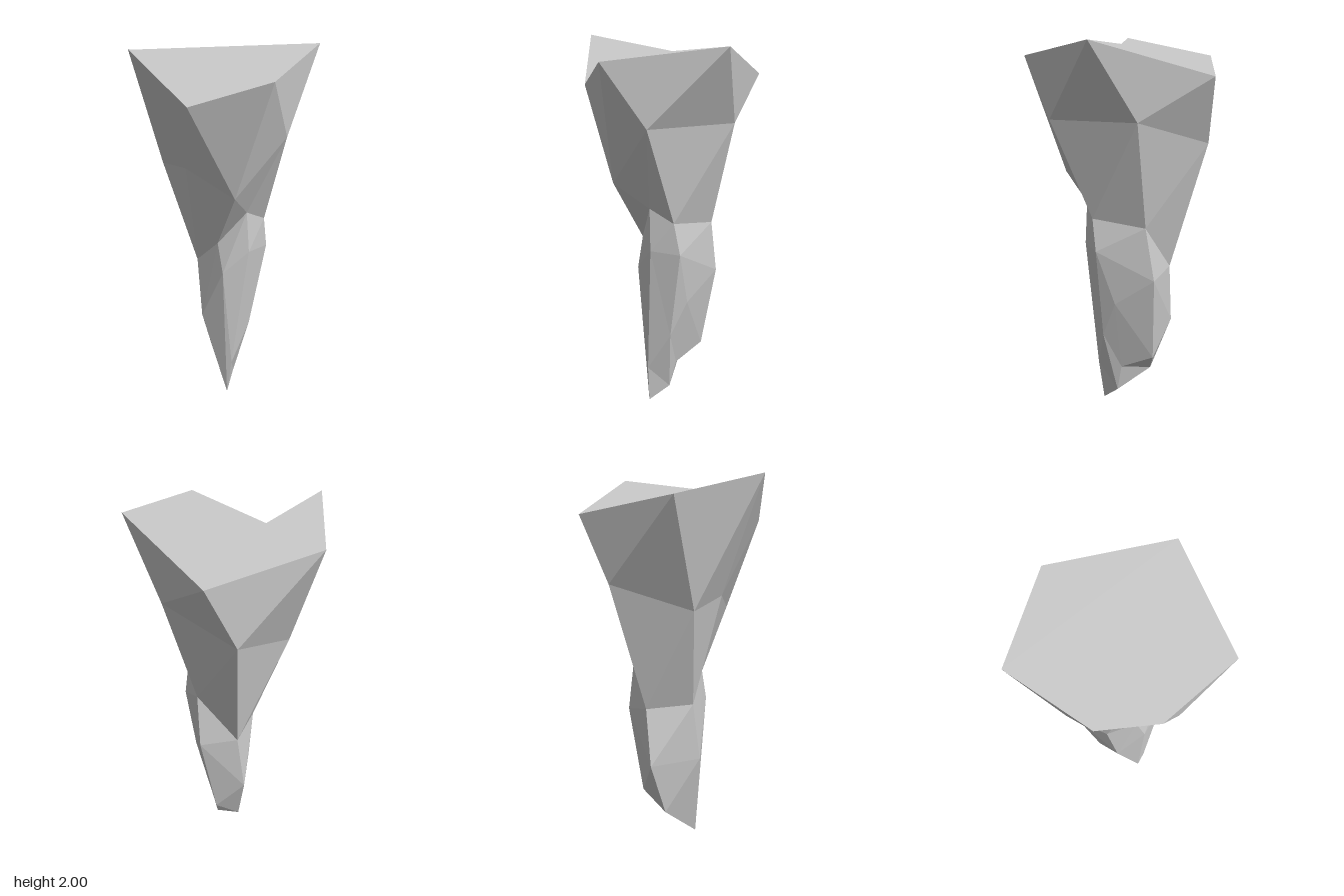
import * as THREE from 'three';

// Slanted six-sided cross-sections, top to bottom; corners run clockwise seen from above
const RINGS = [
  [[-0.22, 1.9, -0.51], [0.36, 1.8, -0.44], [0.48, 1.97, 0.18], [-0.04, 1.9, 0.5], [-0.33, 1.76, 0.21], [-0.48, 2, -0.07]],
  [[-0.2, 1.33, -0.27], [0.19, 1.46, -0.44], [0.4, 1.58, -0.06], [0.14, 1.58, 0.37], [-0.11, 1.28, 0.29], [-0.22, 1.38, 0]],
  [[-0.1, 0.8, -0.09], [0.09, 0.79, -0.26], [0.25, 1.03, -0.115], [0.17, 1.07, 0.155], [0.04, 1.14, 0.18], [-0.07, 0.95, 0.07]],
  [[-0.11, 0.48, -0.03], [0.055, 0.48, -0.275], [0.26, 0.75, -0.16], [0.2, 0.9, 0.14], [0.05, 0.915, 0.19], [-0.07, 0.79, 0.12]],
  [[-0.02, 0, 0.09], [0.03, 0.19, -0.165], [0.17, 0.3, -0.165], [0.19, 0.61, 0.04], [0.12, 0.42, 0.1], [-0.01, 0.21, 0.12]],
];
// Two inner corners of the broken underside
const NOTCH = [[0.1, 0.225, 0], [0.07, 0.08, 0.02]];

function facets(triangles) {
  const geometry = new THREE.BufferGeometry();
  geometry.setAttribute('position', new THREE.Float32BufferAttribute(triangles.flat(2), 3));
  geometry.computeVertexNormals();
  return geometry;
}

function part(name, geometry, flatShading) {
  const mesh = new THREE.Mesh(geometry, new THREE.MeshStandardMaterial({ color: 0xcccccc, flatShading }));
  mesh.name = name;
  return mesh;
}

export function createModel() {
  const group = new THREE.Group();
  group.name = 'rockSpire';

  // Faceted sides between neighbouring cross-sections
  const sides = [];
  for (let r = 0; r < RINGS.length - 1; r++) {
    const up = RINGS[r], lo = RINGS[r + 1];
    for (let i = 0; i < 6; i++) {
      const j = (i + 1) % 6;
      sides.push([lo[i], up[i], lo[j]], [up[i], up[j], lo[j]]);
    }
  }
  group.add(part('rockSides', facets(sides), true));

  // Chipped underside around the two inner corners
  const p = [...RINGS[4], ...NOTCH];
  const under = [[0, 1, 7], [1, 6, 7], [1, 2, 6], [2, 3, 6], [3, 4, 6], [4, 7, 6], [4, 5, 7], [5, 0, 7]];
  group.add(part('rockTip', facets(under.map((t) => t.map((k) => p[k]))), true));

  // Top plateau, a fan from its back corner shaded as one face
  const rim = RINGS[0], top = [];
  for (let i = 1; i < 5; i++) top.push([rim[0], rim[i + 1], rim[i]]);
  const plateau = facets(top);
  const normals = plateau.attributes.normal;
  for (let i = 0; i < normals.count; i++) normals.setXYZ(i, 0, 1, 0);
  group.add(part('topPlateau', plateau, false));

  return group;
}
